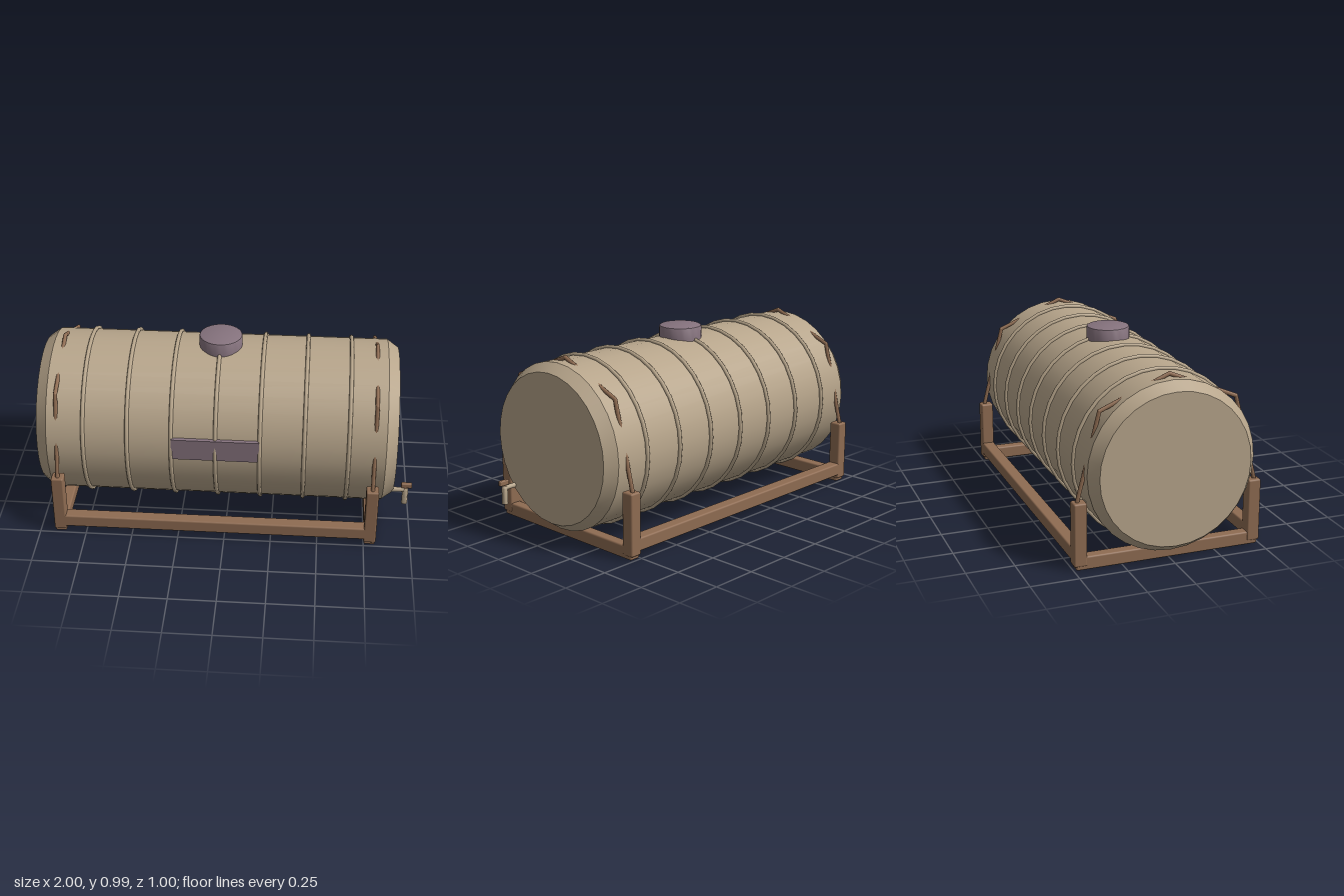
import * as THREE from 'three';
import { toCreasedNormals } from 'three/addons/utils/BufferGeometryUtils.js';
import { RoundedBoxGeometry } from 'three/addons/geometries/RoundedBoxGeometry.js';

const CX = -0.05, CY = 0.49; // tank centre
const ENDS = [-0.888, 0.782]; // x of the two support frames

function material(name, color) {
  const m = new THREE.MeshStandardMaterial({ color });
  m.name = name;
  return m;
}

export function createModel() {
  const model = new THREE.Group();
  model.name = 'storageTank';
  const tan = material('tan', 0xb7a58b);
  const brown = material('brown', 0x8f6c52);
  const mauve = material('mauve', 0x86737e);

  const add = (name, geometry, mat, x = 0, y = 0, z = 0) => {
    const mesh = new THREE.Mesh(geometry, mat);
    mesh.name = name;
    mesh.position.set(x, y, z);
    model.add(mesh);
    return mesh;
  };
  const lathe = (profile, segments) => toCreasedNormals(
    new THREE.LatheGeometry(profile.map(([r, y]) => new THREE.Vector2(r, y)), segments), 0.55);
  const beam = (w, h, d) => new RoundedBoxGeometry(w, h, d, 2, 0.009);

  // Horizontal drum with bevelled ends
  const drum = lathe([[0, -0.95], [0.397, -0.95], [0.44, -0.89], [0.44, 0.89], [0.397, 0.95], [0, 0.95]], 32);
  drum.rotateZ(-Math.PI / 2);
  add('tankBody', drum, tan, CX, CY);

  // Ribs around the drum
  const rib = new THREE.TorusGeometry(0.444, 0.011, 8, 32);
  rib.rotateY(Math.PI / 2);
  for (let i = -3; i <= 3; i++) add('rib', rib, tan, CX + i * 0.232, CY);

  // Filler cap
  add('fillerCap', lathe([[0, 0], [0.115, 0], [0.115, 0.082], [0.112, 0.088], [0.105, 0.091], [0, 0.091]], 32),
    mauve, CX, 0.897, 0);

  // Front plate
  add('frontPlate', new THREE.BoxGeometry(0.46, 0.12, 0.022), mauve, CX, 0.54, 0.437);

  // Support frame
  for (const z of [-0.465, 0.465]) {
    add('sideBeam', beam(1.72, 0.07, 0.068), brown, -0.053, 0.075, z);
    for (const x of ENDS) add('post', beam(0.066, 0.33, 0.068), brown, x, 0.185, z);
  }
  for (const x of ENDS) add('crossBeam', beam(0.06, 0.07, 0.975), brown, x, 0.035, 0);

  // Bent straps over the drum, one straight run per side of the path
  const path = [[0.478, 0.33], [0.358, 0.797], [0, 0.947], [-0.358, 0.797], [-0.478, 0.33]]
    .map(([z, y]) => new THREE.Vector3(0, y, z));
  const curve = new THREE.CurvePath();
  for (let i = 0; i < path.length - 1; i++) curve.add(new THREE.LineCurve3(path[i], path[i + 1]));
  for (const x of ENDS) {
    for (const run of curve.curves) add('strap', new THREE.TubeGeometry(run, 1, 0.011, 8), brown, x);
    for (const p of path.slice(1, -1)) add('strapBend', new THREE.SphereGeometry(0.011, 8, 6), brown, x, p.y, p.z);
  }

  // Drain tap
  const pipe = new THREE.CylinderGeometry(0.013, 0.013, 0.1, 12);
  pipe.rotateZ(Math.PI / 2);
  add('tapPipe', pipe, tan, 0.92, 0.232, 0.292);
  add('tapSpout', lathe([[0, -0.052], [0.016, -0.052], [0.016, 0.035], [0.011, 0.046], [0, 0.046]], 12),
    tan, 0.966, 0.197, 0.292);
  add('tapStem', new THREE.CylinderGeometry(0.009, 0.009, 0.02, 10), brown, 0.966, 0.245, 0.292);
  add('tapHandle', new RoundedBoxGeometry(0.058, 0.028, 0.024, 2, 0.006), brown, 0.971, 0.261, 0.292);

  return model;
}
